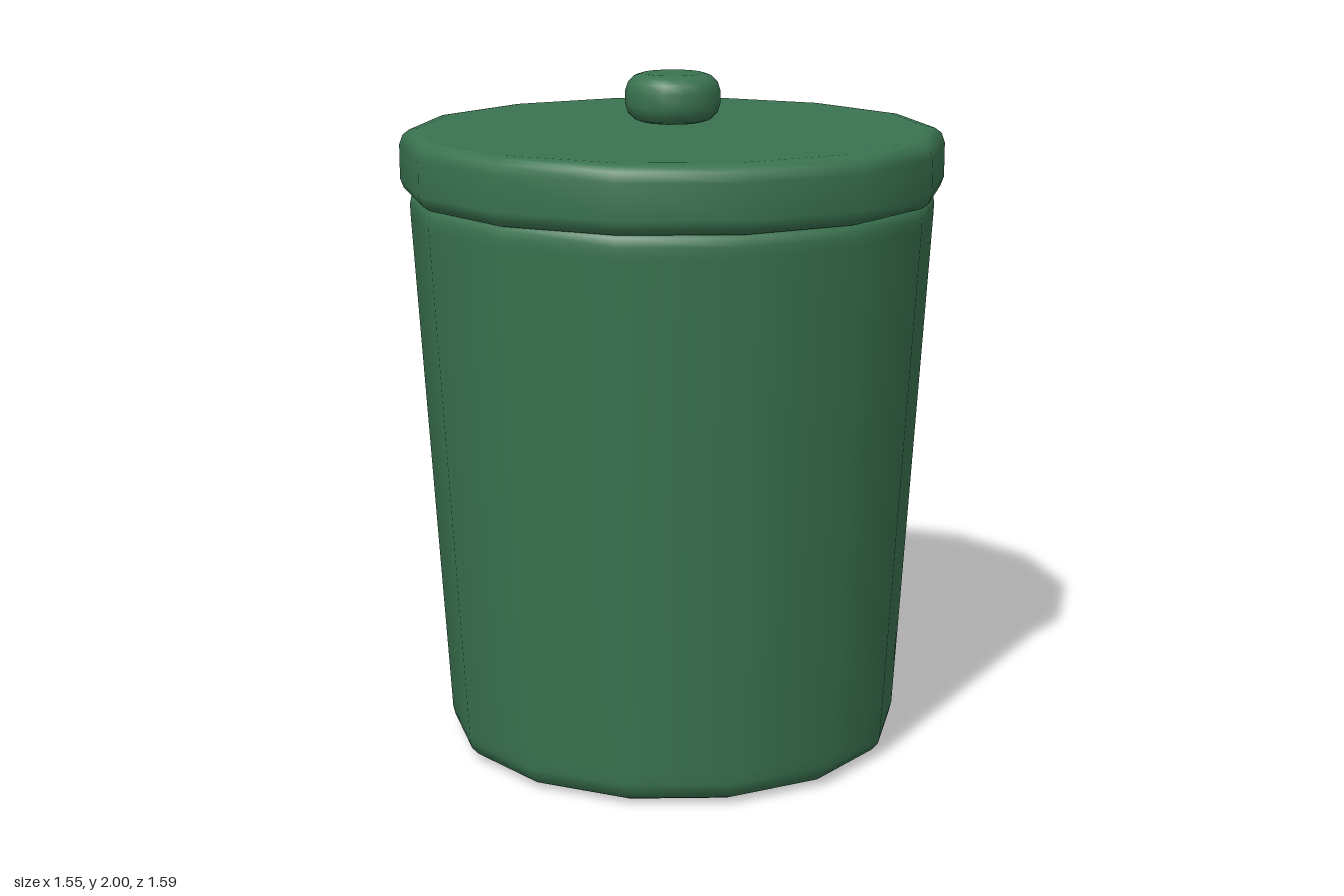
import * as THREE from 'three';

const SIDES = 14;

// Lathe from [radius, height] pairs, listed bottom to top
function turned(name, profile, material) {
  const points = profile.map(([r, y]) => new THREE.Vector2(r, y));
  const mesh = new THREE.Mesh(new THREE.LatheGeometry(points, SIDES), material);
  mesh.name = name;
  return mesh;
}

export function createModel() {
  const group = new THREE.Group();
  group.name = 'liddedBin';
  const green = new THREE.MeshStandardMaterial({ color: 0x3a7350 });
  green.name = 'green';

  // Tapered body with rounded bottom and top edges
  group.add(turned('body', [
    [0, 0], [0.59, 0], [0.615, 0.003], [0.648, 0.018], [0.668, 0.04], [0.674, 0.065], [0.676, 0.1],
    [0.767, 1.59], [0.768, 1.62], [0.763, 1.645], [0.745, 1.66], [0.71, 1.665], [0, 1.665],
  ], green));

  // Overhanging lid with a rounded rim
  group.add(turned('lid', [
    [0, 1.65], [0.735, 1.65], [0.765, 1.653], [0.785, 1.668], [0.795, 1.695],
    [0.795, 1.795], [0.785, 1.823], [0.765, 1.838], [0.74, 1.842], [0, 1.842],
  ], green));

  // Pill-shaped knob hovering just above the lid
  group.add(turned('knob', [
    [0, 1.86], [0.088, 1.86], [0.113, 1.868], [0.13, 1.885], [0.138, 1.91],
    [0.138, 1.95], [0.13, 1.975], [0.113, 1.992], [0.088, 2], [0, 2],
  ], green));

  return group;
}
